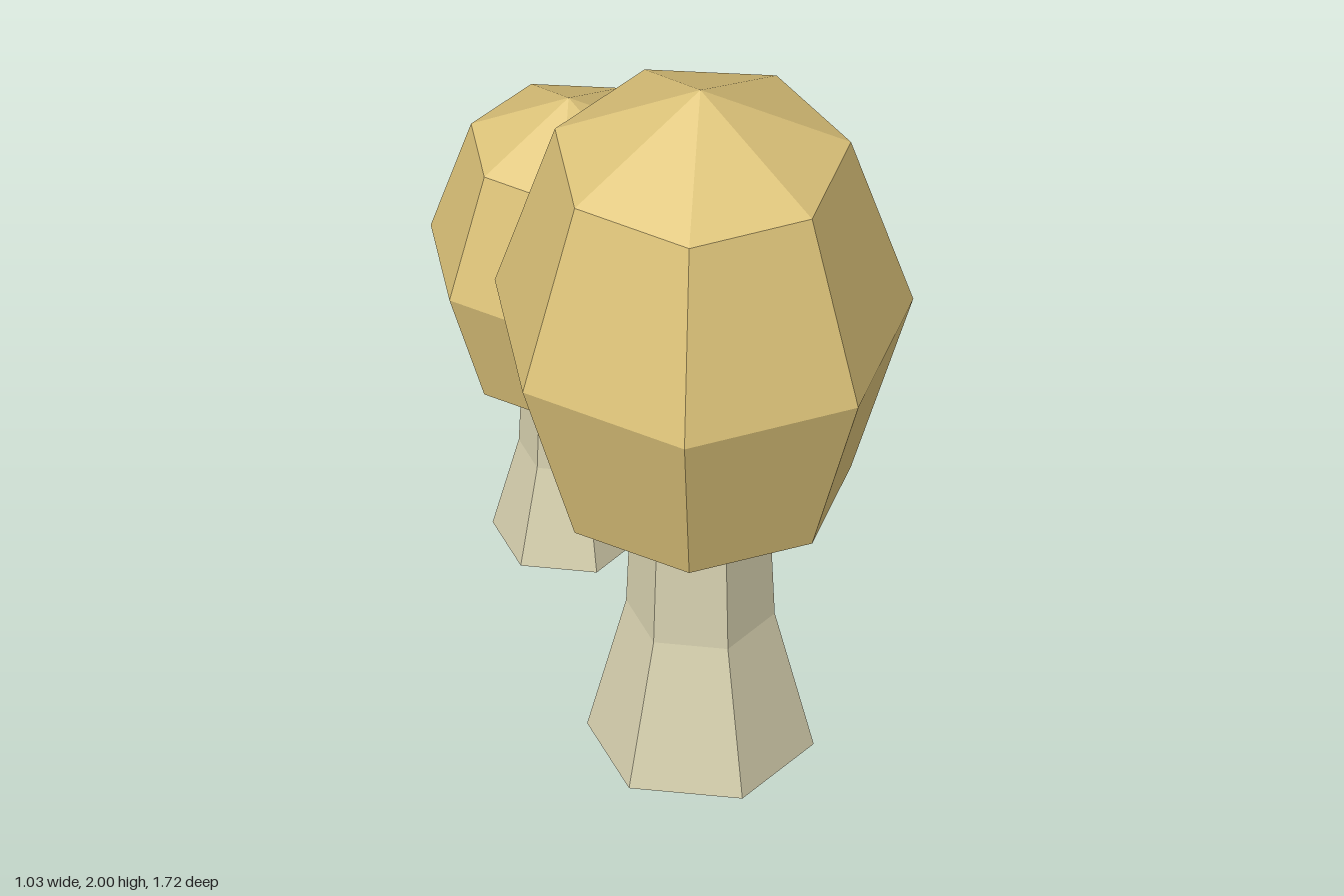
import * as THREE from 'three';

const crownMaterial = new THREE.MeshStandardMaterial({ color: 0xdec47a, flatShading: true });
const trunkMaterial = new THREE.MeshStandardMaterial({ color: 0xd8d2b0, flatShading: true, side: THREE.DoubleSide });

// Faceted solid of revolution from [radius, height] pairs, bottom to top
function facetedLathe(name, profile, sides, start, material) {
  const points = profile.map(([r, y]) => new THREE.Vector2(r, y));
  const mesh = new THREE.Mesh(new THREE.LatheGeometry(points, sides, start), material);
  mesh.name = name;
  return mesh;
}

function createTree(name, z, scale) {
  const tree = new THREE.Group();
  tree.name = name;
  // Six-sided flared trunk, open at the base, running up into the crown
  tree.add(facetedLathe('trunk', [[0.282, 0], [0.185, 0.395], [0.17, 0.78]], 6, 0, trunkMaterial));
  // Seven-sided crown with a corner at the back and a flat face at the front
  tree.add(facetedLathe('crown',
    [[0, 0.58], [0.375, 0.787], [0.53, 1.29], [0.375, 1.795], [0, 2]], 7, Math.PI, crownMaterial));
  tree.position.z = z;
  tree.scale.setScalar(scale);
  return tree;
}

export function createModel() {
  const model = new THREE.Group();
  model.name = 'treePair';
  model.add(createTree('largeTree', 0.38, 1));
  model.add(createTree('smallTree', -0.507, 0.67));
  return model;
}
